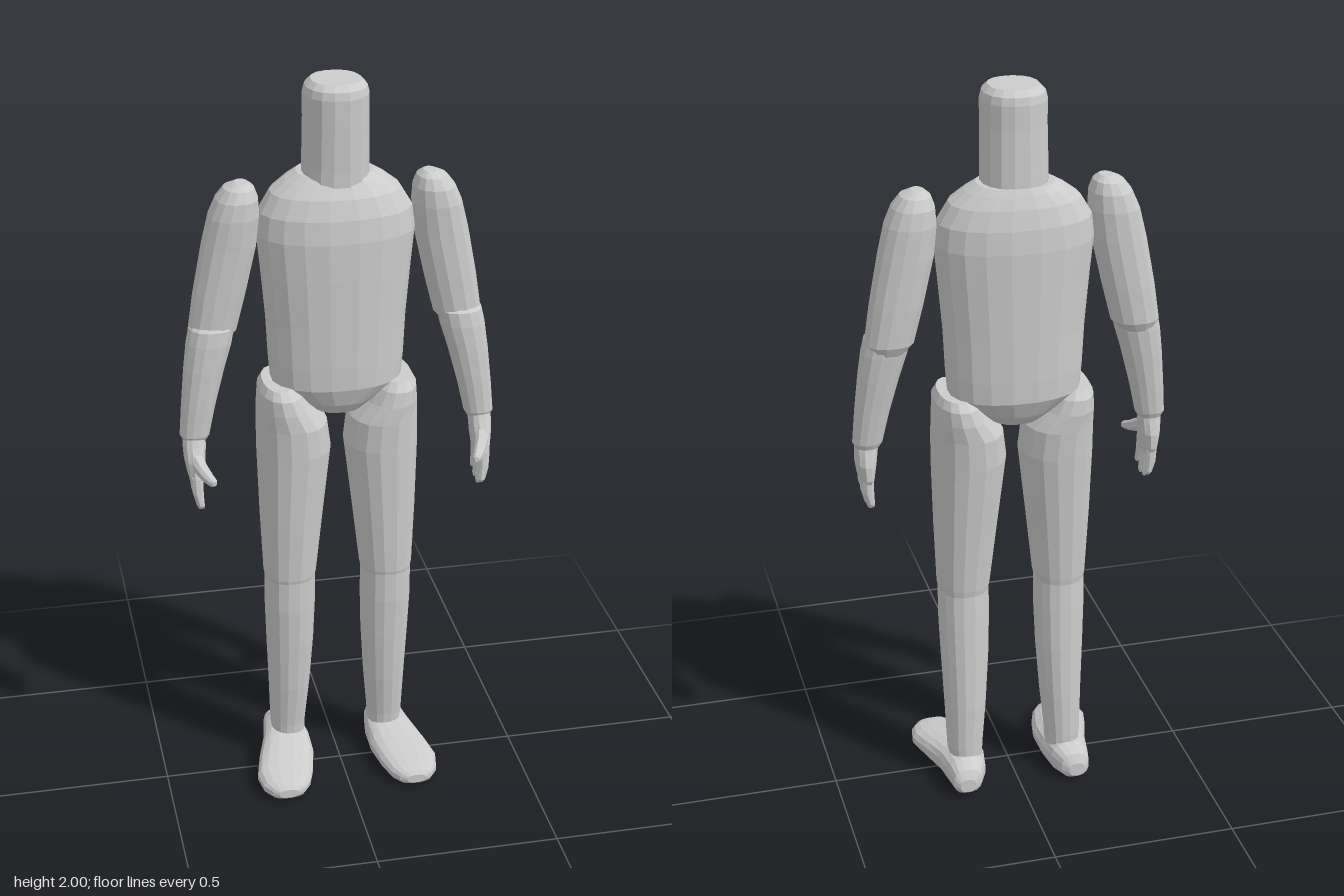
import * as THREE from 'three';

const grey = new THREE.MeshStandardMaterial({ color: 0xcccccc, flatShading: true });
grey.name = 'plain grey';

// Closed loft through rounded rings, listed in ascending order.
// axis 'y': [y, x0, x1, z0, z1]   axis 'z': [z, x0, x1, y0, y1]
function loft(name, rings, axis = 'y', sides = 16, power = 0.9) {
  const pos = [], index = [];
  const add = (t, x, o) => (axis === 'y' ? pos.push(x, t, o) : pos.push(x, o, t));
  const round = (v) => Math.sign(v) * Math.pow(Math.abs(v), power);
  for (const [t, x0, x1, o0, o1] of rings) {
    for (let i = 0; i < sides; i++) {
      const a = ((i + 0.5) / sides) * Math.PI * 2;
      // the turning direction keeps faces outward for either axis
      const cx = axis === 'y' ? Math.sin(a) : Math.cos(a);
      const co = axis === 'y' ? Math.cos(a) : Math.sin(a);
      add(t, (x0 + x1) / 2 + round(cx) * (x1 - x0) / 2, (o0 + o1) / 2 + round(co) * (o1 - o0) / 2);
    }
  }
  const n = rings.length;
  for (let k = 0; k < n - 1; k++) {
    for (let i = 0; i < sides; i++) {
      const j = (i + 1) % sides, a = k * sides, b = a + sides;
      index.push(a + i, a + j, b + j, a + i, b + j, b + i);
    }
  }
  // end caps
  for (const k of [0, n - 1]) {
    const [t, x0, x1, o0, o1] = rings[k];
    const c = pos.length / 3;
    add(t, (x0 + x1) / 2, (o0 + o1) / 2);
    for (let i = 0; i < sides; i++) {
      const p = k * sides + i, q = k * sides + (i + 1) % sides;
      if (k === 0) index.push(c, q, p);
      else index.push(c, p, q);
    }
  }
  const g = new THREE.BufferGeometry();
  g.setAttribute('position', new THREE.Float32BufferAttribute(pos, 3));
  g.setIndex(index);
  g.computeVertexNormals();
  const mesh = new THREE.Mesh(g, grey);
  mesh.name = name;
  return mesh;
}

// Flip rings to the other side of the body
const mirror = (rings, side) =>
  side > 0 ? rings : rings.map(([t, x0, x1, a, b]) => [t, -x1, -x0, a, b]);

const TORSO = [
  [1.11, -0.07, 0.07, -0.13, 0.02],
  [1.14, -0.11, 0.11, -0.155, 0.04],
  [1.19, -0.175, 0.175, -0.18, 0.058],
  [1.25, -0.18, 0.18, -0.183, 0.06],
  [1.36, -0.185, 0.185, -0.185, 0.062],
  [1.5, -0.197, 0.197, -0.188, 0.065],
  [1.6, -0.207, 0.207, -0.19, 0.065],
  [1.66, -0.2, 0.2, -0.186, 0.058],
  [1.71, -0.17, 0.17, -0.175, 0.042],
  [1.74, -0.13, 0.13, -0.163, 0.022],
  [1.757, -0.1, 0.1, -0.155, 0.01],
];
const HEAD = [
  [1.7, -0.088, 0.088, -0.15, 0.024],
  [1.78, -0.086, 0.086, -0.148, 0.026],
  [1.9, -0.084, 0.084, -0.144, 0.032],
  [1.965, -0.084, 0.084, -0.144, 0.034],
  [1.985, -0.079, 0.079, -0.14, 0.03],
  [2.0, -0.064, 0.064, -0.123, 0.013],
];
const THIGH = [
  [0.58, 0.072, 0.198, -0.105, 0.03],
  [0.62, 0.063, 0.206, -0.112, 0.04],
  [0.8, 0.043, 0.213, -0.132, 0.052],
  [1.0, 0.02, 0.218, -0.153, 0.064],
  [1.08, 0.03, 0.217, -0.16, 0.067],
  [1.13, 0.07, 0.215, -0.163, 0.066],
  [1.17, 0.093, 0.212, -0.158, 0.06],
  [1.192, 0.115, 0.2, -0.14, 0.04],
];
const SHIN = [
  [0.06, 0.095, 0.185, -0.115, -0.015],
  [0.12, 0.092, 0.19, -0.118, -0.01],
  [0.25, 0.08, 0.194, -0.12, 0.01],
  [0.4, 0.07, 0.2, -0.116, 0.025],
  [0.52, 0.066, 0.204, -0.112, 0.035],
  [0.62, 0.066, 0.203, -0.108, 0.038],
];
const FOOT = [
  [-0.172, 0.135, 0.18, 0.02, 0.06],
  [-0.16, 0.115, 0.195, 0.01, 0.085],
  [-0.12, 0.095, 0.203, 0.006, 0.1],
  [-0.05, 0.083, 0.215, 0.006, 0.1],
  [0.03, 0.083, 0.24, 0.006, 0.085],
  [0.1, 0.098, 0.257, 0.003, 0.07],
  [0.15, 0.115, 0.248, 0.003, 0.06],
  [0.178, 0.135, 0.228, 0.008, 0.052],
  [0.188, 0.155, 0.21, 0.017, 0.042],
];
const UPPER_ARM = [
  [1.31, 0.3, 0.37, -0.095, -0.02],
  [1.35, 0.263, 0.392, -0.115, 0.0],
  [1.45, 0.237, 0.377, -0.12, 0.005],
  [1.58, 0.207, 0.352, -0.122, 0.01],
  [1.66, 0.199, 0.332, -0.122, 0.015],
  [1.705, 0.202, 0.312, -0.115, 0.012],
  [1.733, 0.212, 0.29, -0.1, -0.002],
  [1.746, 0.228, 0.262, -0.075, -0.025],
];
const FOREARM = [
  [1.05, 0.355, 0.418, -0.058, 0.0],
  [1.065, 0.346, 0.426, -0.065, 0.007],
  [1.15, 0.327, 0.419, -0.078, 0.011],
  [1.25, 0.3, 0.409, -0.093, 0.013],
  [1.32, 0.278, 0.4, -0.102, 0.012],
  [1.36, 0.27, 0.391, -0.104, 0.008],
  [1.385, 0.295, 0.37, -0.085, -0.02],
];
const PALM = [
  [0.935, 0.372, 0.402, -0.052, 0.04],
  [0.96, 0.368, 0.411, -0.065, 0.045],
  [1.0, 0.362, 0.418, -0.065, 0.032],
  [1.04, 0.358, 0.42, -0.055, 0.012],
  [1.07, 0.36, 0.416, -0.05, 0.0],
];
const THUMB = [
  [0.0, 0.37, 0.41, 0.985, 1.035],
  [0.035, 0.364, 0.4, 0.97, 1.015],
  [0.065, 0.352, 0.384, 0.962, 0.995],
  [0.085, 0.345, 0.37, 0.96, 0.985],
  [0.093, 0.348, 0.36, 0.964, 0.978],
];

// One finger, curling inward to its tip; z is its root, spread its lean
const finger = (z, spread, tip) => [
  [0.0, 0.376, 0.386, 1, 0.004],
  [0.1, 0.374, 0.392, 0.95, 0.01],
  [0.45, 0.375, 0.402, 0.5, 0.012],
  [1.0, 0.374, 0.406, 0, 0.013],
].map(([t, x0, x1, lean, r]) => {
  const c = z + spread * lean;
  return [tip + t * (0.965 - tip), x0, x1, c - r, c + r];
});
const FINGERS = [[0.03, 0.014, 0.878], [0.005, 0.006, 0.86], [-0.02, -0.001, 0.864], [-0.045, -0.004, 0.88]];

export function createModel() {
  const model = new THREE.Group();
  model.name = 'figure';
  model.add(loft('torso', TORSO, 'y', 20), loft('neckAndHead', HEAD));

  for (const side of [1, -1]) {
    const label = side > 0 ? 'left' : 'right';
    const part = (name, rings, ...rest) => loft(label + name, mirror(rings, side), ...rest);

    const leg = new THREE.Group();
    leg.name = label + 'Leg';
    leg.add(part('Thigh', THIGH), part('Shin', SHIN), part('Foot', FOOT, 'z', 16, 0.8));

    const arm = new THREE.Group();
    arm.name = label + 'Arm';
    arm.add(part('UpperArm', UPPER_ARM, 'y', 14), part('Forearm', FOREARM, 'y', 14));

    // hand with thumb and four fingers
    const hand = new THREE.Group();
    hand.name = label + 'Hand';
    hand.add(part('Palm', PALM, 'y', 12), part('Thumb', THUMB, 'z', 8));
    FINGERS.forEach((f, i) => hand.add(part('Finger' + (i + 1), finger(...f), 'y', 8)));
    arm.add(hand);
    model.add(leg, arm);
  }
  return model;
}
